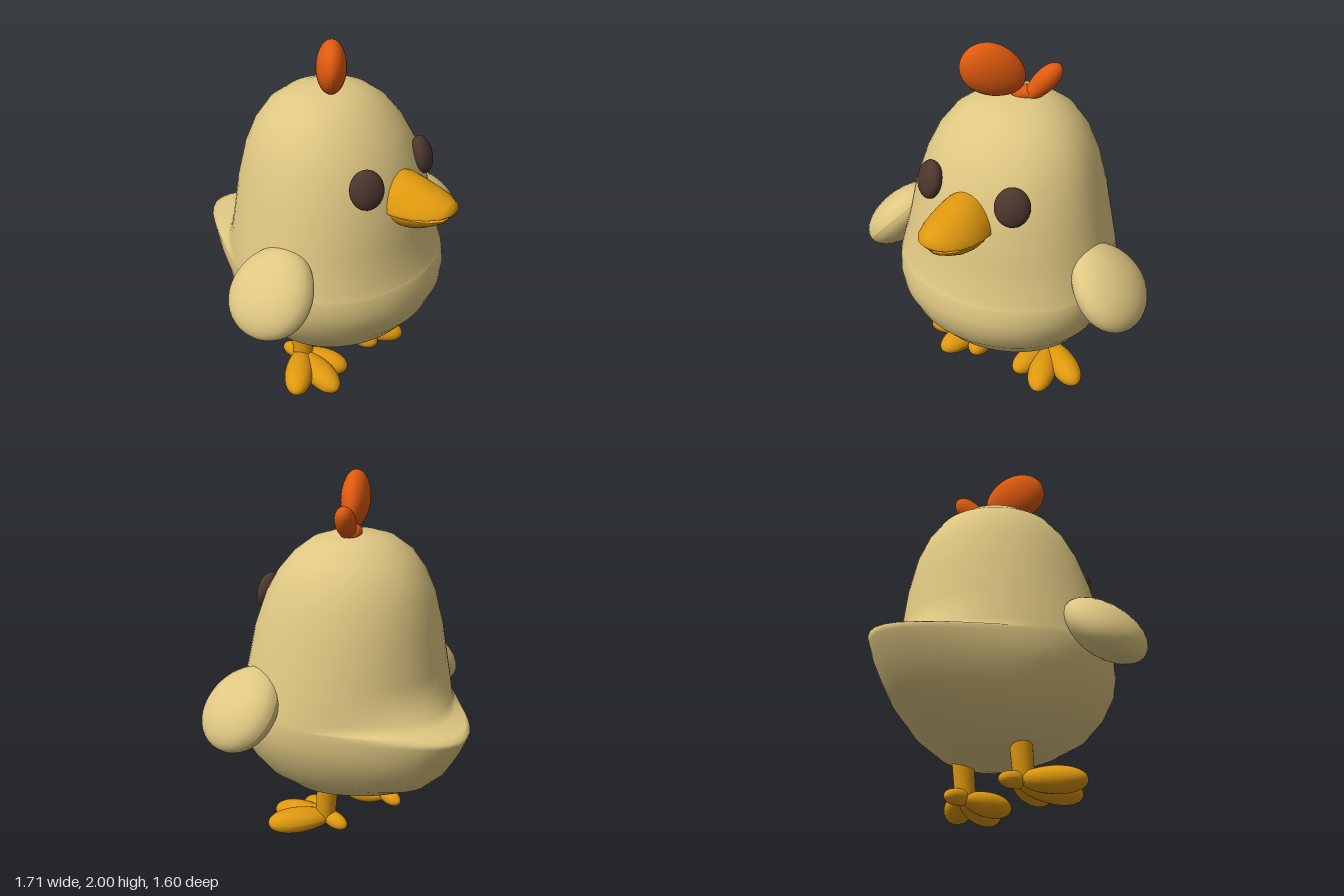
import * as THREE from 'three';

const mat = (name, color) => new THREE.MeshStandardMaterial({ name, color });
const V = (x, y, z) => new THREE.Vector3(x, y, z);

// Smooth skin over closed rings of points
function loft(rings) {
  const n = rings[0].length, pos = [], idx = [];
  rings.forEach(r => r.forEach(p => pos.push(p.x, p.y, p.z)));
  for (let i = 0; i < rings.length - 1; i++) {
    for (let j = 0; j < n; j++) {
      const a = i * n + j, b = i * n + (j + 1) % n;
      idx.push(a, a + n, b, b, a + n, b + n);
    }
  }
  const g = new THREE.BufferGeometry();
  g.setAttribute('position', new THREE.Float32BufferAttribute(pos, 3));
  g.setIndex(idx);
  g.computeVertexNormals();
  return g;
}

const ringOf = (n, f) => Array.from({ length: n }, (_, j) => {
  const a = j / n * Math.PI * 2;
  return f(Math.cos(a), Math.sin(a));
});

// Egg-shaped lobe from a to b; "thin" is the direction of its thickness
function lobe(name, material, a, b, width, thickness, thin, taper = 0) {
  const g = new THREE.SphereGeometry(1, 28, 20);
  const p = g.attributes.position;
  for (let i = 0; i < p.count; i++) {
    const k = 1 + taper * p.getY(i);
    p.setX(i, p.getX(i) * k);
    p.setZ(i, p.getZ(i) * k);
  }
  const dir = b.clone().sub(a), len = dir.length();
  dir.normalize();
  const side = dir.clone().cross(thin).normalize();
  g.scale(width, len / 2, thickness);
  g.applyMatrix4(new THREE.Matrix4().makeBasis(side, dir, side.clone().cross(dir)));
  g.computeVertexNormals();
  const m = new THREE.Mesh(g, material);
  m.name = name;
  m.position.copy(a).add(b).multiplyScalar(0.5);
  return m;
}

// Body rows: height, half width, front z, back z, tail length
const BODY = [
  [0.238, 0, 0.06, 0.06, 0], [0.245, 0.14, 0.17, -0.08, 0], [0.27, 0.25, 0.26, -0.18, 0.02],
  [0.31, 0.35, 0.35, -0.28, 0.07], [0.4, 0.465, 0.5, -0.39, 0.14], [0.5, 0.54, 0.585, -0.46, 0.18],
  [0.6, 0.59, 0.63, -0.49, 0.22], [0.68, 0.61, 0.636, -0.5, 0.26], [0.74, 0.613, 0.625, -0.5, 0.29],
  [0.768, 0.612, 0.618, -0.5, 0.3], [0.78, 0.611, 0.614, -0.5, 0.26], [0.785, 0.61, 0.61, -0.5, 0.13],
  [0.82, 0.603, 0.6, -0.5, 0.08], [0.9, 0.585, 0.578, -0.5, 0.025], [1.0, 0.56, 0.562, -0.495, 0],
  [1.2, 0.515, 0.53, -0.475, 0], [1.38, 0.46, 0.465, -0.435, 0], [1.5, 0.405, 0.395, -0.385, 0],
  [1.6, 0.33, 0.31, -0.315, 0], [1.67, 0.235, 0.22, -0.22, 0], [1.7, 0.14, 0.13, -0.14, 0],
  [1.712, 0, 0, 0, 0],
];

// Beak rows from tip to root: z, half width, rim height, rise, drop
const UPPER = [
  [0.8, 0, 1.22, 0, 0], [0.796, 0.045, 1.22, 0.03, 0.014], [0.775, 0.085, 1.213, 0.058, 0.018],
  [0.72, 0.128, 1.205, 0.09, 0.018], [0.65, 0.155, 1.196, 0.12, 0.014],
  [0.58, 0.165, 1.19, 0.15, 0.01], [0.5, 0.167, 1.187, 0.172, 0.01], [0.4, 0.15, 1.187, 0.17, 0.01],
];
const LOWER = [
  [0.765, 0, 1.172, 0, 0], [0.755, 0.045, 1.172, 0.01, 0.018], [0.71, 0.095, 1.172, 0.01, 0.045],
  [0.64, 0.128, 1.172, 0.01, 0.082], [0.57, 0.145, 1.172, 0.01, 0.1], [0.42, 0.145, 1.172, 0.01, 0.1],
];

const beakShape = rows => loft(rows.map(([z, w, rim, up, down]) => ringOf(32, (c, s) =>
  V(w * c, rim + (s > 0 ? up : -down) * Math.abs(s) ** 1.4, z))));

export function createModel() {
  const feather = mat('feather', 0xdfc782);
  const beakMat = mat('beakYellow', 0xdf980e);
  const combMat = mat('combOrange', 0xe05a0e);
  const eyeMat = mat('eyeBrown', 0x4c362e);
  const model = new THREE.Group();
  model.name = 'chick';
  const add = (name, geometry, material, parent = model) => {
    const m = new THREE.Mesh(geometry, material);
    m.name = name;
    parent.add(m);
    return m;
  };

  // Body with a pointed tail
  add('body', loft(BODY.map(([y, w, f, b, tail]) => {
    const mid = 0.55 * f + 0.45 * b;
    return ringOf(64, (c, s) => V(w * c, y,
      s > 0 ? mid + (f - mid) * s : mid + (mid - b) * s - tail * s ** 6));
  })), feather);

  // Beak and mouth
  add('upperBeak', beakShape(UPPER), beakMat);
  add('lowerBeak', beakShape(LOWER), beakMat);
  model.add(lobe('mouth', combMat, V(0, 1.19, 0.45), V(0, 1.19, 0.752), 0.1, 0.014, V(0, 1, 0)));

  // Comb: one big and one small lobe in a slanted plane
  const across = V(0.6, 0, 0.8);
  model.add(
    lobe('combLarge', combMat, V(0.035, 1.77, -0.01), V(-0.205, 1.935, 0.19), 0.138, 0.078, across, 0.1),
    lobe('combSmall', combMat, V(0.045, 1.68, -0.005), V(0.188, 1.868, -0.118), 0.058, 0.055, across, 0.2),
    lobe('combBase', combMat, V(-0.03, 1.72, 0.02), V(0.11, 1.71, -0.07), 0.04, 0.05, across),
  );

  for (const s of [1, -1]) {
    const side = s > 0 ? 'left' : 'right';

    // Eye
    model.add(lobe(side + 'Eye', eyeMat, V(s * 0.262, 1.24, 0.465), V(s * 0.238, 1.44, 0.415),
      0.092, 0.055, V(s * 0.5, 0.2, 0.85)));

    // Wing
    model.add(lobe(side + 'Wing', feather, V(s * 0.495, 1.015, 0.155), V(s * 0.825, 0.65, 0.155),
      0.237, 0.132, V(s, 0.9, 0), 0.08));

    // Leg and foot
    const foot = new THREE.Group();
    foot.name = side + 'Foot';
    model.add(foot);
    const leg = add('leg', new THREE.CylinderGeometry(0.06, 0.055, 0.24, 24), beakMat, foot);
    leg.position.set(s * 0.222, 0.2, -0.01);
    leg.rotation.x = -0.1;
    const toes = [
      ['innerToe', 0.2, 0.09, -0.04, 0.142, 0.068, 0.25, 0.07, 0.066],
      ['middleToe', 0.21, 0.09, -0.04, 0.325, 0.06, 0.315, 0.078, 0.07],
      ['outerToe', 0.2, 0.105, -0.03, 0.5, 0.08, 0.17, 0.078, 0.07],
      ['backToe', 0.22, 0.11, 0.06, 0.205, 0.085, -0.155, 0.045, 0.045],
    ];
    for (const [name, x0, y0, z0, x1, y1, z1, w, t] of toes) {
      foot.add(lobe(name, beakMat, V(s * x0, y0, z0), V(s * x1, y1, z1), w, t, V(0, 1, 0), 0.15));
    }
  }
  return model;
}
